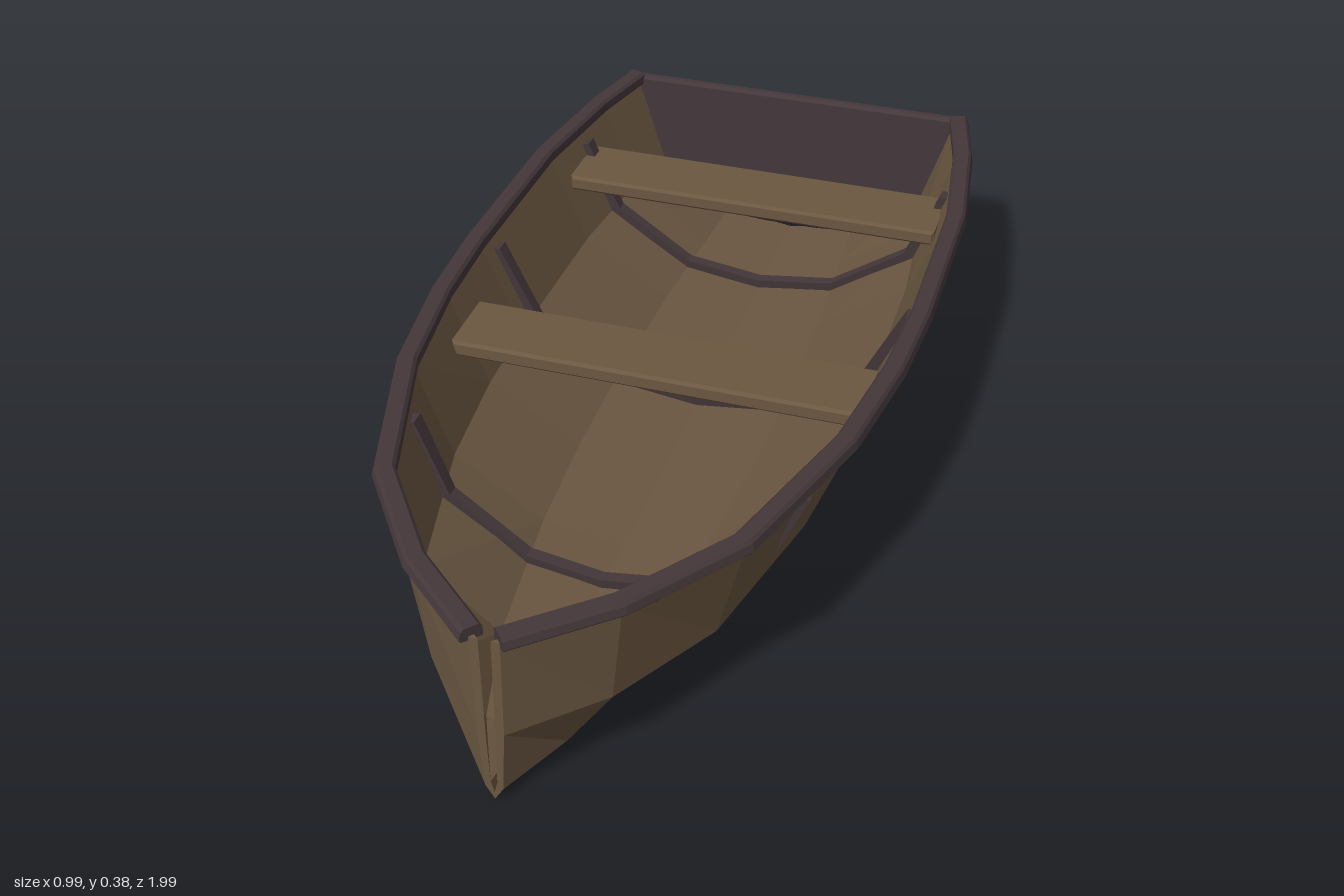
import * as THREE from 'three';

const mat = (name, color) => {
  const m = new THREE.MeshStandardMaterial({ color, flatShading: true });
  m.name = name;
  return m;
};

// Skin over rings of [x, y, z], wound anticlockwise along the path, with end caps
function loft(rings) {
  const n = rings[0].length, last = (rings.length - 1) * n, index = [];
  const quad = (a, b, c, d) => index.push(a, b, c, a, c, d);
  for (let k = 0; k < rings.length - 1; k++) {
    for (let i = 0; i < n; i++) {
      const j = (i + 1) % n;
      quad(k * n + i, k * n + j, (k + 1) * n + j, (k + 1) * n + i);
    }
  }
  for (let i = 0; i < n / 2 - 1; i++) {
    const [a, b, c, d] = [i, i + 1, n - 2 - i, n - 1 - i];
    quad(last + a, last + b, last + c, last + d);
    quad(d, c, b, a);
  }
  const g = new THREE.BufferGeometry();
  g.setAttribute('position', new THREE.Float32BufferAttribute(rings.flat(2), 3));
  g.setIndex(index);
  const flat = g.toNonIndexed();
  flat.computeVertexNormals();
  return flat;
}

// Hull stations: z, half-widths at gunwale, chine and bottom edge
const stations = [
  [-0.985, 0.395, 0.33, 0.165],
  [-0.82, 0.435, 0.36, 0.175],
  [-0.55, 0.472, 0.385, 0.19],
  [-0.15, 0.478, 0.39, 0.195],
  [0.05, 0.469, 0.385, 0.19],
  [0.3, 0.435, 0.36, 0.175],
  [0.63, 0.335, 0.285, 0.135],
  [0.84, 0.185, 0.165, 0.08],
  [0.98, 0.027, 0.024, 0.016],
];
const TOP = 0.365, CHINE = 0.16, BOTTOM = 0.032, KEEL = 0.005;

function widthsAt(z) {
  let i = 0;
  while (i < stations.length - 2 && stations[i + 1][0] < z) i++;
  const a = stations[i], b = stations[i + 1], t = (z - a[0]) / (b[0] - a[0]);
  return a.map((v, j) => v + (b[j] - v) * t);
}

// Mirrors a half section (gunwale to keel) into a full path from -x to +x
const fullPath = (half) => [
  ...half.map(([x, y]) => [-x, y]),
  ...half.slice(0, -1).reverse(),
];

// Planked shell with real thickness, open at the bow slit
function hullRing([z, top, chine, bottom]) {
  const thin = (x, d) => Math.max(0.006, x - d);
  const outer = fullPath([[top, TOP], [chine, CHINE], [bottom, BOTTOM], [0, KEEL]]);
  const inner = fullPath([
    [thin(top, 0.016), TOP], [thin(chine, 0.015), CHINE + 0.006],
    [thin(bottom, 0.01), BOTTOM + 0.013], [0, KEEL + 0.016],
  ]);
  return [...outer, ...inner.reverse()].map(([x, y]) => [x, y, z]);
}

// Gunwale rail following one side, with chamfered edges
function railGeometry(side) {
  const profile = [[-0.026, 0.357], [0.013, 0.357], [0.017, 0.362], [0.013, 0.377],
    [0.007, 0.383], [-0.02, 0.383], [-0.026, 0.377], [-0.027, 0.362]];
  const rings = stations.map(([z, x], k) => {
    const p = stations[Math.max(0, k - 1)], q = stations[Math.min(stations.length - 1, k + 1)];
    const dx = q[1] - p[1], dz = q[0] - p[0], len = Math.hypot(dx, dz);
    const ring = profile.map(([o, y]) => [
      side * Math.max(0.004, x + (o * dz) / len), y, z - (o * dx) / len,
    ]);
    return side > 0 ? ring : ring.reverse();
  });
  return loft(rings);
}

// Frame bent across the inside, its heads passing just through the planks
function ribGeometry(z) {
  const [, top, chine, bottom] = widthsAt(z);
  const headY = 0.335;
  const head = chine + ((top - chine) * (headY - CHINE)) / (TOP - CHINE);
  const inner = fullPath([[head - 0.03, headY], [chine - 0.034, CHINE + 0.016],
    [bottom - 0.012, BOTTOM + 0.032], [0, KEEL + 0.036]]);
  const outer = fullPath([[head + 0.008, headY - 0.008], [chine - 0.007, CHINE + 0.003],
    [bottom - 0.004, BOTTOM + 0.006], [0, KEEL + 0.008]]);
  return loft(inner.map(([x, y], i) => {
    const [ox, oy] = outer[i];
    const w = i === 0 || i === inner.length - 1 ? 0.016 : 0.013;
    return [[x, y, z - w], [x, y, z + w], [ox, oy, z + w * 0.8], [ox, oy, z - w * 0.8]];
  }));
}

// Board with small chamfers, centred on its own origin
function boardGeometry(w, h, d, bevel) {
  const x = w / 2 - bevel, y = h / 2 - bevel;
  const shape = new THREE.Shape([
    new THREE.Vector2(-x, -y), new THREE.Vector2(x, -y),
    new THREE.Vector2(x, y), new THREE.Vector2(-x, y),
  ]);
  const g = new THREE.ExtrudeGeometry(shape, {
    depth: d - 2 * bevel, bevelEnabled: true, bevelSegments: 1,
    bevelSize: bevel, bevelThickness: bevel,
  });
  return g.translate(0, 0, bevel - d / 2);
}

export function createModel() {
  const boat = new THREE.Group();
  boat.name = 'rowingBoat';
  const plank = mat('plankBrown', 0x6b5741);
  const trim = mat('darkTrim', 0x44373a);

  const add = (name, geometry, material, x = 0, y = 0, z = 0) => {
    const mesh = new THREE.Mesh(geometry, material);
    mesh.name = name;
    mesh.position.set(x, y, z);
    boat.add(mesh);
  };

  add('hull', loft(stations.map(hullRing)), plank);
  add('leftRail', railGeometry(1), trim);
  add('rightRail', railGeometry(-1), trim);

  // Flat stern board
  add('transom', boardGeometry(0.776, 0.346, 0.026, 0.007), trim, 0, 0.203, -0.985);

  // Cross frames
  [-0.7, -0.205, 0.42].forEach((z, i) => add(`rib${i + 1}`, ribGeometry(z), trim));

  // Thwarts
  add('rearSeat', boardGeometry(0.835, 0.034, 0.16, 0.006), plank, 0, 0.287, -0.66);
  add('middleSeat', boardGeometry(0.835, 0.034, 0.16, 0.006), plank, 0, 0.287, 0.043);

  return boat;
}
